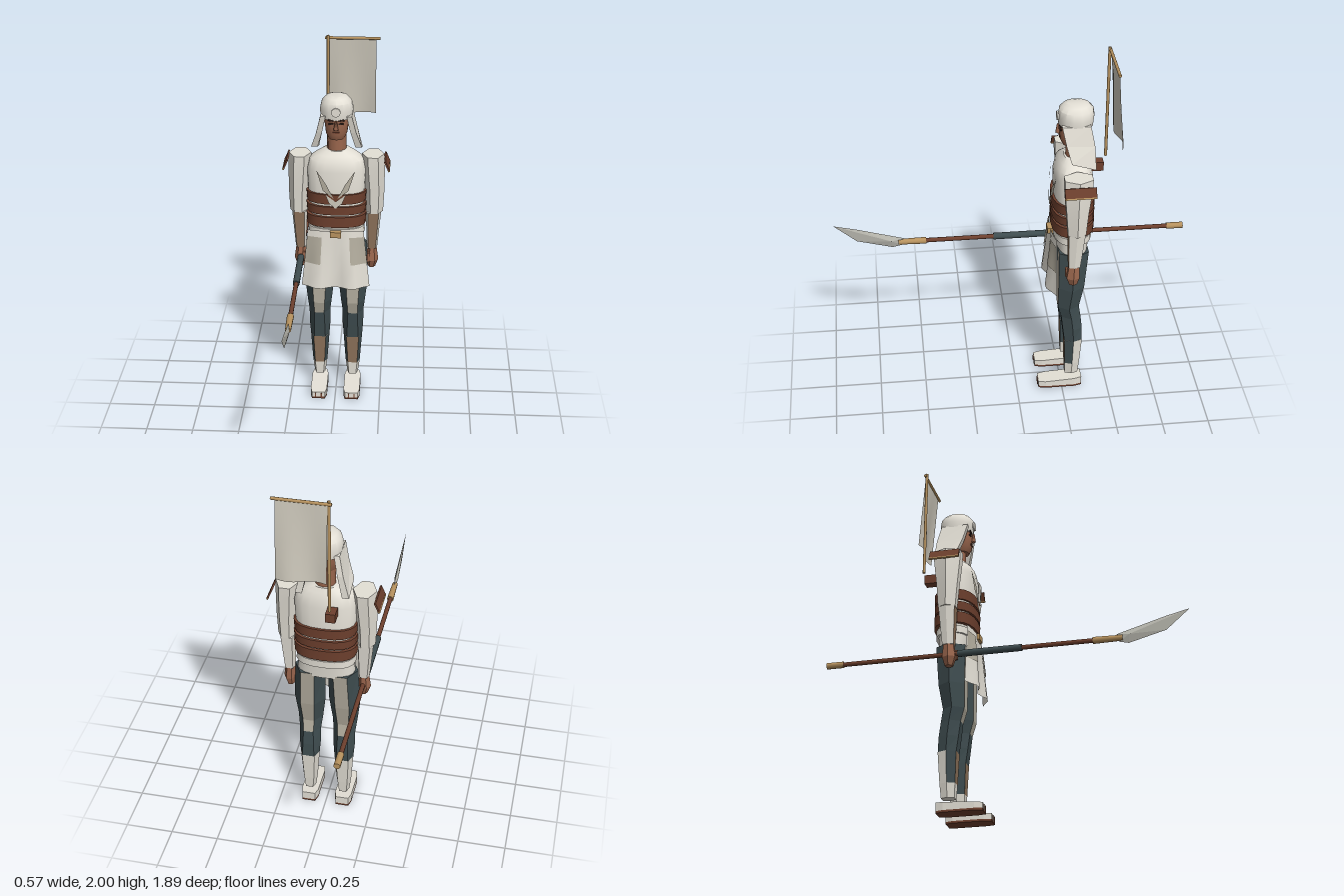
import * as THREE from 'three';
import { toCreasedNormals } from 'three/addons/utils/BufferGeometryUtils.js';

const paint = (name, color, side = THREE.FrontSide) => {
  const m = new THREE.MeshStandardMaterial({ color, side });
  m.name = name;
  return m;
};

export function createModel() {
  const M = {
    white: paint('offWhite', 0xe4e0d6, THREE.DoubleSide),
    linen: paint('linen', 0xcfcabd, THREE.DoubleSide),
    beige: paint('greyBeige', 0xb4ae9f, THREE.DoubleSide),
    leather: paint('leatherBrown', 0x6e402e),
    tan: paint('tan', 0x8c7159),
    slate: paint('slate', 0x3f4d50),
    skin: paint('skin', 0x9a664d),
    wood: paint('paleWood', 0xb8935f),
    steel: paint('steel', 0xbab9b0),
    dark: paint('darkBrown', 0x33231e),
  };
  const model = new THREE.Group();
  model.name = 'bannerSoldier';

  const add = (name, geo, mat, x = 0, y = 0, z = 0, parent = model) => {
    const m = new THREE.Mesh(geo, mat);
    m.name = name;
    m.position.set(x, y, z);
    parent.add(m);
    return m;
  };
  const box = (w, h, d) => new THREE.BoxGeometry(w, h, d);

  // Joins rings of points, listed bottom to top and counter-clockwise from above.
  // mats is one material, or one per side; cap faces use capMat.
  const loft = (name, rings, mats, capMat, smooth = false) => {
    const n = rings[0].length, pos = [], groups = [], list = [].concat(mats);
    const geo = new THREE.BufferGeometry();
    const tri = (...p) => p.forEach((v) => pos.push(...v));
    for (let j = 0; j < n; j++) {
      const start = pos.length / 3, k = (j + 1) % n;
      for (let i = 0; i + 1 < rings.length; i++) {
        const [a, b] = [rings[i], rings[i + 1]];
        tri(a[j], a[k], b[k]);
        tri(a[j], b[k], b[j]);
      }
      groups.push([start, pos.length / 3 - start, j % list.length]);
    }
    const start = pos.length / 3, lo = rings[0], hi = rings[rings.length - 1];
    for (let j = 1; j + 1 < n; j++) {
      tri(lo[0], lo[j + 1], lo[j]);
      tri(hi[0], hi[j], hi[j + 1]);
    }
    groups.push([start, pos.length / 3 - start, list.length]);
    geo.setAttribute('position', new THREE.Float32BufferAttribute(pos, 3));
    groups.forEach((g) => geo.addGroup(...g));
    geo.computeVertexNormals();
    const out = smooth ? toCreasedNormals(geo, 0.7) : geo;
    return add(name, out, [...list, capMat || list[0]]);
  };
  // Six-sided section with flat front and back
  const hex = (x, y, z, rx, rz, f = 0.45) =>
    [[-f, 1], [f, 1], [1, 0], [f, -1], [-f, -1], [-1, 0]].map(([a, b]) => [x + a * rx, y, z + b * rz]);
  // Rounded section
  const oval = (y, rx, rz, z, e = 0.8, n = 20) => Array.from({ length: n }, (_, i) => {
    const a = (i / n) * Math.PI * 2, s = Math.sin(a), c = Math.cos(a);
    return [Math.sign(s) * Math.abs(s) ** e * rx, y, z + Math.sign(c) * Math.abs(c) ** e * rz];
  });

  // Torso, hips and belt
  loft('torso', [oval(0.95, 0.14, 0.085, -0.3), oval(1.1, 0.147, 0.1, -0.3), oval(1.33, 0.16, 0.1, -0.3),
    oval(1.385, 0.145, 0.09, -0.3), oval(1.41, 0.11, 0.075, -0.305), oval(1.435, 0.062, 0.06, -0.31)],
  M.white, M.white, true);
  loft('hips', [oval(0.885, 0.15, 0.08, -0.3), oval(0.97, 0.145, 0.088, -0.3)], M.white, M.white, true);
  loft('belt', [oval(0.965, 0.154, 0.1, -0.3), oval(1.005, 0.152, 0.1, -0.3)], M.white, M.white, true);
  add('beltBuckle', box(0.06, 0.032, 0.03), M.wood, 0, 0.984, -0.185);
  [[1.155, 1.21], [1.093, 1.14], [1.02, 1.08]].forEach(([a, b]) =>
    loft('leatherBand', [oval(a, 0.16, 0.112, -0.3), oval(b, 0.164, 0.113, -0.3)], M.leather, M.leather, true));

  // Chest facings, laid over the torso curve
  const chestPlate = (name, pts, mat, lift) => {
    const g = new THREE.ShapeGeometry(new THREE.Shape(pts.map((p) => new THREE.Vector2(...p))));
    const p = g.attributes.position;
    for (let i = 0; i < p.count; i++) {
      const u = Math.abs(p.getX(i)) / 0.16;
      p.setZ(i, -0.3 + (0.1 + lift) * (1 - u ** 2.5) ** 0.4);
    }
    g.computeVertexNormals();
    add(name, g, mat);
  };
  for (const s of [-1, 1]) {
    chestPlate('lapel', [[0.01, 1.19], [0.068, 1.235], [0.103, 1.345], [0.05, 1.27]].map(([x, y]) => [x * s, y]), M.beige, 0.017);
    chestPlate('chestFold', [[0, 1.135], [0.035, 1.165], [0.055, 1.215], [0, 1.175]].map(([x, y]) => [x * s, y]), M.linen, 0.02);
  }

  // Pleated apron and its side panels
  const drape = (name, x0, x1, y0, y1, mat, lift) => {
    const g = new THREE.PlaneGeometry(1, 1, 10, 4), p = g.attributes.position;
    for (let i = 0; i < p.count; i++) {
      const u = x0 + (p.getX(i) + 0.5) * (x1 - x0), y = y0 + (p.getY(i) + 0.5) * (y1 - y0);
      const t = (1 - y) / 0.33, pleat = Math.sin(Math.min(1, Math.abs(u)) * Math.PI) ** 2;
      p.setXYZ(i, u * (0.15 + 0.035 * t), y, -0.185 - 0.02 * u * u + t * 0.037 * pleat + lift);
    }
    g.computeVertexNormals();
    add(name, g, mat);
  };
  drape('apron', -1, 1, 0.67, 1, M.white, 0);
  drape('apronPanel', -1, -0.48, 0.81, 0.965, M.beige, 0.005);
  drape('apronPanel', 0.48, 1, 0.81, 0.965, M.beige, 0.005);

  // Limbs
  const { white: W, slate: S, beige: B, tan: T } = M;
  for (const s of [-1, 1]) {
    const x = 0.092 * s;
    loft('thigh', [hex(x, 0.48, -0.293, 0.058, 0.052), hex(x, 0.55, -0.278, 0.066, 0.056),
      hex(x, 0.68, -0.29, 0.082, 0.068), hex(0.085 * s, 0.9, -0.3, 0.08, 0.078)], [B, S, S, B, S, S], S);
    loft('knee', [hex(x, 0.32, -0.308, 0.052, 0.048, 0.6), hex(x, 0.4, -0.302, 0.058, 0.052, 0.5),
      hex(x, 0.48, -0.293, 0.058, 0.052)], S);
    loft('shin', [hex(x, 0.155, -0.305, 0.04, 0.04, 0.65), hex(x, 0.32, -0.308, 0.052, 0.048, 0.65)], [T, S, W, W, W, S], W);
    loft('ankleWrap', [hex(x, 0.08, -0.303, 0.03, 0.035, 0.65), hex(x, 0.155, -0.305, 0.04, 0.04, 0.65)], W);

    // Shoe on a leather sole
    const plan = new THREE.Shape([[-0.035, 0.36], [0.035, 0.36], [0.045, 0.32], [0.045, 0.16], [0.036, 0.12],
      [-0.036, 0.12], [-0.045, 0.16], [-0.045, 0.32]].map(([a, b]) => new THREE.Vector2(a, b)));
    const slab = (depth) => new THREE.ExtrudeGeometry(plan, { depth, bevelEnabled: false }).rotateX(-Math.PI / 2);
    add('sole', slab(0.011), M.leather, x);
    const shoe = slab(0.044), p = shoe.attributes.position;
    for (let i = 0; i < p.count; i++) if (p.getY(i) > 0.02) p.setY(i, 0.044 - 0.06 * (p.getZ(i) + 0.36));
    shoe.computeVertexNormals();
    add('shoe', shoe, W, x, 0.011);
    for (const k of [-0.016, 0.016]) add('toeStrap', box(0.006, 0.03, 0.006), M.leather, x + k, 0.02, -0.119);

    // Arm, forearm guard and hand
    loft('upperArm', [hex(0.205 * s, 1.08, -0.297, 0.046, 0.046), hex(0.205 * s, 1.2, -0.297, 0.052, 0.055),
      hex(0.198 * s, 1.35, -0.3, 0.06, 0.07), hex(0.195 * s, 1.408, -0.302, 0.06, 0.072)], W, W, true);
    loft('forearm', [hex(0.194 * s, 0.87, -0.29, 0.028, 0.03, 0.7), hex(0.2 * s, 1.08, -0.297, 0.042, 0.043, 0.7)], [T, W, W, W, W, W], W);
    loft('hand', [hex(0.193 * s, 0.755, -0.287, 0.02, 0.02), hex(0.197 * s, 0.8, -0.285, 0.032, 0.034),
      hex(0.194 * s, 0.88, -0.29, 0.024, 0.026)], M.skin);
    add('thumb', box(0.016, 0.05, 0.018), M.skin, 0.176 * s, 0.82, -0.256);

    // Shoulder plate with a pale edge
    const plate = new THREE.Group();
    plate.name = 'shoulderPlate';
    plate.position.set(0.27 * s, 1.362, -0.303);
    plate.rotation.z = 0.4 * s;
    model.add(plate);
    add('plateBody', box(0.009, 0.05, 0.16), M.leather, 0, 0.004, 0, plate);
    add('plateEdge', box(0.01, 0.008, 0.162), M.wood, 0, -0.025, 0, plate);
  }

  // Head, neck and face
  add('neck', new THREE.CylinderGeometry(0.05, 0.052, 0.13, 12), M.skin, 0, 1.465, -0.31);
  loft('head', [oval(1.5, 0.042, 0.05, -0.293, 0.9), oval(1.53, 0.057, 0.066, -0.295, 0.9),
    oval(1.58, 0.064, 0.075, -0.302, 0.9), oval(1.66, 0.067, 0.08, -0.305, 0.9)], M.skin, M.skin, true);
  add('nose', new THREE.CylinderGeometry(0.005, 0.013, 0.05, 4), M.skin, 0, 1.59, -0.218);
  add('mouth', box(0.036, 0.008, 0.006), M.leather, 0, 1.547, -0.228);
  for (const s of [-1, 1]) {
    add('eye', box(0.024, 0.008, 0.008), M.dark, 0.026 * s, 1.596, -0.229);
    add('brow', box(0.032, 0.008, 0.008), M.dark, 0.027 * s, 1.615, -0.227).rotation.z = 0.15 * s;
  }

  // Hood with hanging side flaps
  loft('hood', [oval(1.615, 0.085, 0.088, -0.309, 0.95, 14), oval(1.66, 0.09, 0.093, -0.309, 0.95, 14),
    oval(1.7, 0.08, 0.088, -0.309, 0.95, 14), oval(1.722, 0.058, 0.068, -0.309, 0.95, 14),
    oval(1.73, 0.035, 0.045, -0.309, 0.95, 14)], W, W, true);
  add('hoodDisc', new THREE.CylinderGeometry(0.024, 0.024, 0.008, 16).rotateX(Math.PI / 2), W, 0, 1.662, -0.215);
  for (const s of [-1, 1]) {
    const ring = (a, b, zf, zb, yf, yb) => {
      const r = [[a * s, yf, zf], [b * s, yf, zf], [b * s, yb, zb], [a * s, yb, zb]];
      return s > 0 ? r : r.reverse();
    };
    loft('hoodFlap', [ring(0.1, 0.135, -0.275, -0.4, 1.45, 1.41), ring(0.075, 0.105, -0.25, -0.395, 1.54, 1.53),
      ring(0.055, 0.083, -0.23, -0.375, 1.635, 1.635)], W);
  }

  // Back banner
  add('bannerBracket', box(0.05, 0.05, 0.065), M.leather, -0.055, 1.327, -0.433);
  add('bannerPole', new THREE.CylinderGeometry(0.008, 0.008, 0.62, 8), M.wood, -0.055, 1.69, -0.477);
  add('bannerCrossbar', new THREE.CylinderGeometry(0.008, 0.008, 0.29, 8).rotateZ(Math.PI / 2), M.wood, 0.075, 1.985, -0.482);
  const cloth = new THREE.PlaneGeometry(0.25, 0.42, 8, 6), c = cloth.attributes.position;
  for (let i = 0; i < c.count; i++) {
    const t = 0.5 - c.getY(i) / 0.42;
    c.setZ(i, -t * (0.03 + 0.015 * Math.sin(c.getX(i) * 25)));
  }
  cloth.computeVertexNormals();
  add('bannerCloth', cloth, M.linen, 0.075, 1.77, -0.485);

  // Polearm, lying along z in the right hand
  const rod = (name, z0, z1, r0, r1, mat) =>
    add(name, new THREE.CylinderGeometry(r1, r0, z1 - z0, 10).rotateX(Math.PI / 2), mat, -0.192, 0.82, (z0 + z1) / 2);
  rod('shaft', -0.9, 0.5, 0.012, 0.012, M.leather);
  rod('buttCap', -0.945, -0.855, 0.017, 0.017, M.wood);
  rod('grip', -0.24, 0.095, 0.018, 0.018, S);
  rod('collar', 0.46, 0.61, 0.018, 0.015, M.wood);

  // Blade: an outline in z and y, raised to a ridge on both faces
  const rim = [[0.95, 0.945], [0.83, 0.916], [0.58, 0.842], [0.59, 0.8], [0.64, 0.788], [0.83, 0.84]];
  const blade = [];
  for (const s of [-1, 1]) {
    rim.forEach((a, i) => {
      const b = rim[(i + 1) % rim.length];
      const tri = [[s * 0.011, 0.832, 0.645], [0, a[1], a[0]], [0, b[1], b[0]]];
      (s > 0 ? tri.reverse() : tri).forEach((v) => blade.push(...v));
    });
  }
  const bladeGeo = new THREE.BufferGeometry();
  // Winding is chosen so both faces point outward
  bladeGeo.setAttribute('position', new THREE.Float32BufferAttribute(blade, 3));
  bladeGeo.computeVertexNormals();
  const nx = bladeGeo.attributes.normal.getX(0);
  if (nx > 0) bladeGeo.setIndex([...Array(blade.length / 3).keys()].reverse());
  if (nx > 0) bladeGeo.computeVertexNormals();
  add('blade', bladeGeo, M.steel, -0.192);
  return model;
}
